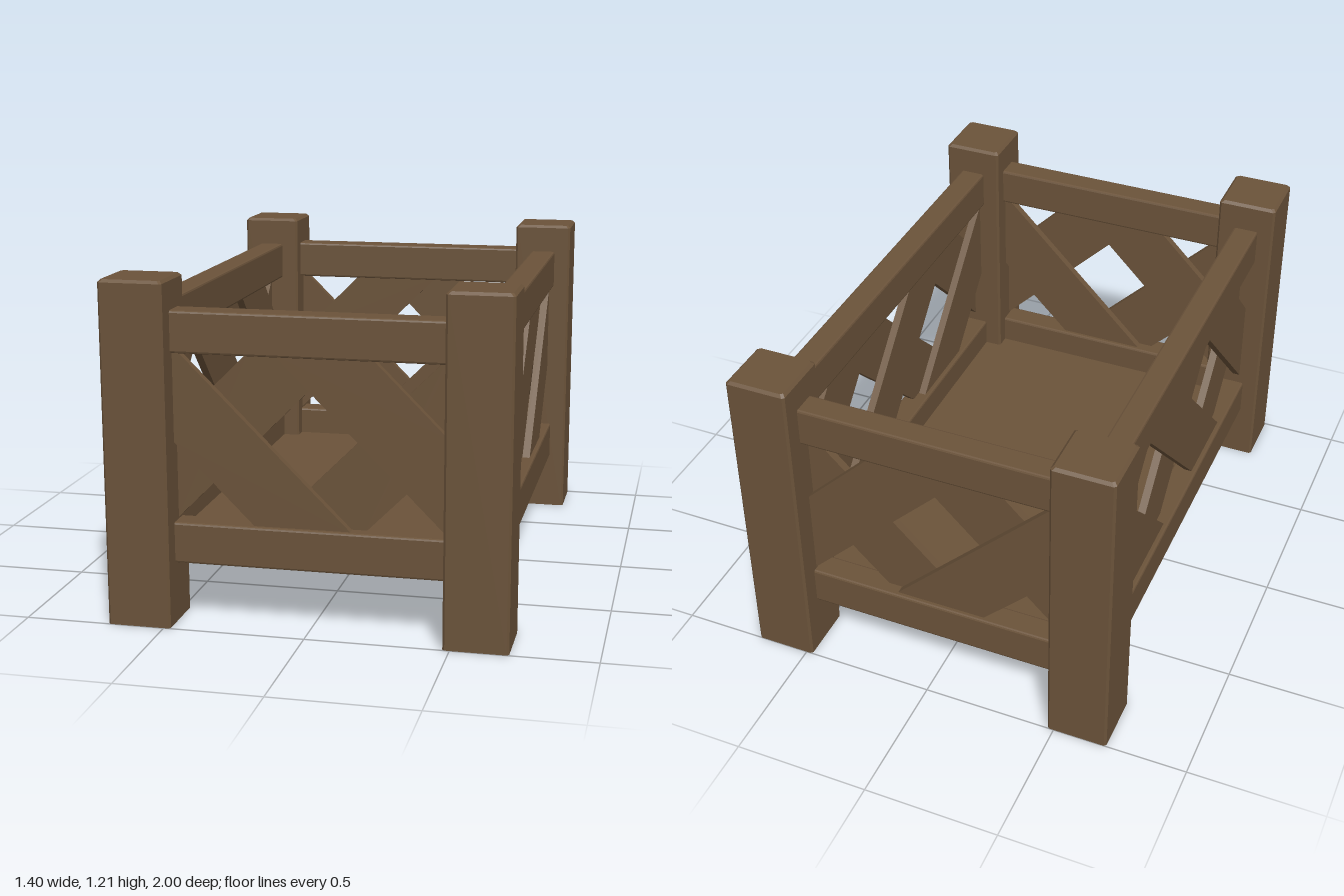
import * as THREE from 'three';
import { RoundedBoxGeometry } from 'three/addons/geometries/RoundedBoxGeometry.js';

const wood = new THREE.MeshStandardMaterial({ color: 0x6b533a, side: THREE.DoubleSide, flatShading: true });
wood.name = 'brown wood';

const POST_HALF = 0.1125;
const BOTTOM = 0.35, TOP = 0.965, MID = 0.6725; // lattice limits and centre height

function add(parent, name, geometry, x = 0, y = 0, z = 0) {
  const mesh = new THREE.Mesh(geometry, wood);
  mesh.name = name;
  mesh.position.set(x, y, z);
  parent.add(mesh);
  return mesh;
}

// Square post with chamfered edges and top, hollow at the foot
function postGeometry() {
  const profile = [[POST_HALF, 0], [POST_HALF, 1.2], [POST_HALF - 0.01, 1.21], [0, 1.21]];
  const geo = new THREE.LatheGeometry(profile.map(p => new THREE.Vector2(...p)), 8, Math.PI / 8);
  const pos = geo.attributes.position;
  for (let i = 0; i < pos.count; i++) {
    const x = pos.getX(i), z = pos.getZ(i);
    const h = Math.hypot(x, z);
    if (h < 0.01) continue;
    const c = h - 0.008;
    const wide = Math.abs(x) > Math.abs(z);
    pos.setX(i, Math.sign(x) * (wide ? h : c));
    pos.setZ(i, Math.sign(z) * (wide ? c : h));
  }
  return geo;
}

// Keep the part of a polygon where f(point) >= 0
function clip(points, f) {
  const out = [];
  points.forEach((a, i) => {
    const b = points[(i + 1) % points.length];
    const fa = f(a), fb = f(b);
    if (fa >= 0) out.push(a);
    if (fa * fb < 0) out.push(a.clone().lerp(b, fa / (fa - fb)));
  });
  return out;
}

// Diagonal board trimmed to the frame opening; lean 1 rises to the right
function slatGeometry(half, offset, lean) {
  const w = 0.168, r = 3;
  let pts = [[-r, -w], [r, -w], [r, w], [-r, w]]
    .map(([x, d]) => new THREE.Vector2(x, MID + lean * x + offset + d));
  pts = clip(pts, p => p.x + half);
  pts = clip(pts, p => half - p.x);
  pts = clip(pts, p => p.y - BOTTOM);
  pts = clip(pts, p => TOP - p.y);
  return new THREE.ExtrudeGeometry(new THREE.Shape(pts), { depth: 0.029, bevelEnabled: false });
}

// One side of the box: two rails with two crossed layers of slats
function panel(name, half, distance, angle, outerLean, offsets) {
  const group = new THREE.Group();
  group.name = name;
  for (const [label, y] of [['lowerRail', 0.288], ['upperRail', 1.028]])
    add(group, label, new RoundedBoxGeometry(2 * half + 0.02, 0.146, 0.097, 1, 0.008), 0, y, distance);
  for (const offset of offsets) {
    add(group, 'outerSlat', slatGeometry(half, offset, outerLean), 0, 0, distance + 0.001);
    add(group, 'innerSlat', slatGeometry(half, offset, -outerLean), 0, 0, distance - 0.03);
  }
  group.rotation.y = angle;
  return group;
}

export function createModel() {
  const model = new THREE.Group();
  model.name = 'latticePlanter';

  // Corner posts
  const post = postGeometry();
  for (const sx of [-1, 1])
    for (const sz of [-1, 1])
      add(model, 'cornerPost', post, sx * (0.7 - POST_HALF), 0, sz * (1 - POST_HALF));

  // Lattice sides, opposite ones mirrored
  const short = [-0.3375, 0.3375], long = [-0.67, 0, 0.67];
  model.add(
    panel('frontPanel', 0.476, 0.879, 0, -1, short),
    panel('backPanel', 0.476, 0.879, Math.PI, 1, short),
    panel('leftPanel', 0.776, 0.589, Math.PI / 2, 1, long),
    panel('rightPanel', 0.776, 0.589, -Math.PI / 2, -1, long)
  );

  // Floor board
  add(model, 'floor', new THREE.BoxGeometry(1.22, 0.04, 1.8), 0, 0.232, 0);
  return model;
}
